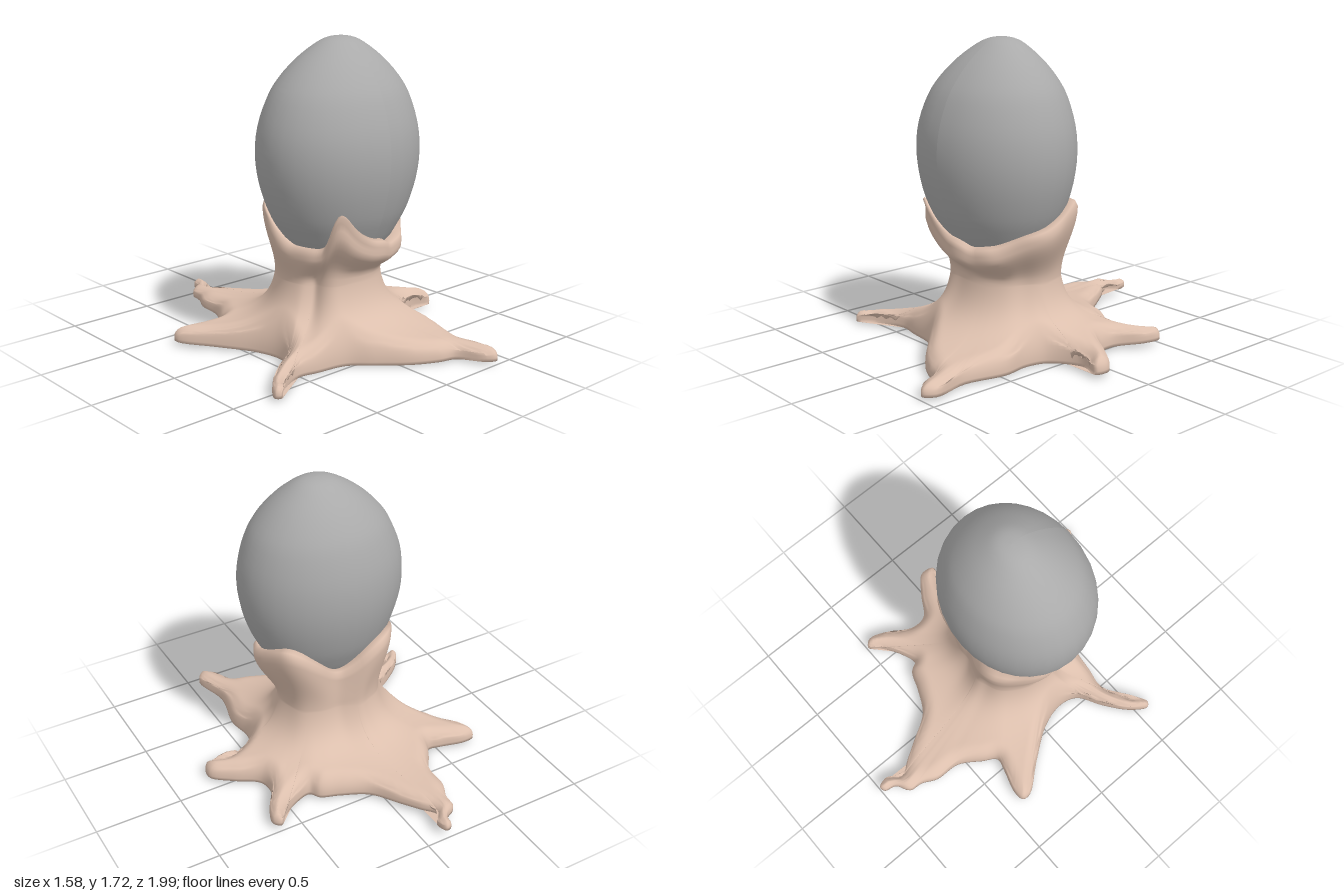
import * as THREE from 'three';

const { lerp, clamp, smoothstep, radToDeg, euclideanModulo } = THREE.MathUtils;

// Linear lookup in a sorted [key, value] table
function lookup(table, x) {
  let i = 0;
  while (i < table.length - 2 && x > table[i + 1][0]) i++;
  const [x0, y0] = table[i], [x1, y1] = table[i + 1];
  return lerp(y0, y1, clamp((x - x0) / (x1 - x0), 0, 1));
}

const SQUASH = 0.86; // depth of the egg and collar relative to their width
const EGG_Z = 0.165, STALK_Z = 0.095, STALK_Y = 0.41;
const EDGE = 0.08; // width of the rounded border of the foot

// Egg half-width by height
const EGG = [
  [0.46, 0], [0.49, 0.13], [0.55, 0.235], [0.62, 0.305], [0.7, 0.358], [0.8, 0.41],
  [0.95, 0.457], [1.1, 0.475], [1.25, 0.46], [1.4, 0.408], [1.5, 0.345], [1.6, 0.25],
  [1.68, 0.142], [1.712, 0.07], [1.72, 0],
];

// Collar rim height by angle in degrees (0 = left side, 90 = front)
const RIM = [
  [-180, 0.635], [-165, 0.68], [-150, 0.77], [-140, 0.81], [-128, 0.825], [-115, 0.81], [-105, 0.76],
  [-95, 0.68], [-84, 0.635], [-74, 0.655], [-64, 0.73], [-50, 0.835], [-40, 0.86], [-26, 0.82],
  [-12, 0.775], [0, 0.74], [20, 0.71], [45, 0.65], [70, 0.625], [82, 0.66], [95, 0.675],
  [108, 0.72], [118, 0.79], [124, 0.865], [130, 0.83], [137, 0.66], [145, 0.63], [180, 0.635],
];

// Foot outline seen from above (x, z), starting at the front arm
const FOOT = [
  [0.4, 0.995], [0.445, 0.94], [0.395, 0.72], [0.44, 0.48], [0.42, 0.32], [0.46, 0.2],
  [0.63, 0.11], [0.77, 0.15], [0.785, 0.07], [0.68, -0.02], [0.55, -0.11], [0.54, -0.22],
  [0.63, -0.37], [0.655, -0.46], [0.62, -0.495], [0.56, -0.43], [0.45, -0.36], [0.36, -0.335],
  [0.32, -0.39], [0.22, -0.43], [0.07, -0.51], [-0.03, -0.66], [-0.1, -0.77], [-0.155, -0.85],
  [-0.15, -0.93], [-0.17, -0.995], [-0.205, -0.985], [-0.22, -0.91], [-0.25, -0.88], [-0.26, -0.79],
  [-0.3, -0.7], [-0.31, -0.55], [-0.39, -0.42], [-0.44, -0.345], [-0.52, -0.36], [-0.66, -0.4],
  [-0.725, -0.39], [-0.73, -0.34], [-0.6, -0.17], [-0.47, 0.02], [-0.43, 0.17], [-0.46, 0.28],
  [-0.6, 0.37], [-0.73, 0.475], [-0.79, 0.57], [-0.765, 0.59], [-0.68, 0.51], [-0.52, 0.435],
  [-0.4, 0.45], [-0.22, 0.48], [-0.1, 0.58], [0.05, 0.71], [0.18, 0.785], [0.27, 0.82], [0.35, 0.96],
];

const wrapDegrees = (a) => euclideanModulo(a + 180, 360) - 180;

// Rim height averaged over a few degrees for soft lobes
function rimHeight(deg) {
  let sum = 0;
  for (let k = -2; k <= 2; k++) sum += lookup(RIM, wrapDegrees(deg + k * 2));
  return sum / 5;
}

const bump = (deg, at, width, size) => size * Math.exp(-((wrapDegrees(deg - at) / width) ** 2));

// Vertical folds that run up the stalk into the rim peaks
const stalkFold = (deg) => bump(deg, 122, 13, 0.035) + bump(deg, 145, 9, -0.035)
  + bump(deg, -40, 18, 0.02) + bump(deg, -78, 13, -0.03) + bump(deg, -125, 16, 0.02)
  + bump(deg, -103, 8, 0.015) + bump(deg, 25, 14, -0.015);

// Outward swellings of the collar lip
const lipFold = (deg) => bump(deg, -5, 22, 0.03) + bump(deg, 85, 14, 0.015) + bump(deg, 52, 14, 0.02)
  + bump(deg, -45, 18, 0.035) + bump(deg, -115, 18, 0.035) + bump(deg, -80, 12, -0.015)
  + bump(deg, 165, 20, -0.02);

const groundY = (x, z) => 0.004 + 0.028 * ((x + 0.1) ** 2 + (z - 0.35) ** 2);

// One rib: inside of the rim, over the lip, down the stalk, out along the foot, back underneath
function createRib(edge, angle, outline) {
  const pts = [];
  const deg = radToDeg(angle), c = Math.cos(angle), s = Math.sin(angle);
  const put = (y, r, cz) => pts.push(new THREE.Vector3(c * r, y, cz + s * r * SQUASH));

  // Collar, with a sharper overhang towards the front
  const h = rimHeight(deg), fold = stalkFold(deg);
  const lip = 0.37 + (h - 0.65) * 0.3 + fold * 0.3 + lipFold(deg);
  const overhang = Math.max(0, s) ** 2;
  put(h - 0.04, lookup(EGG, h - 0.04) - 0.03, EGG_Z);
  put(h, lookup(EGG, h) + 0.008, EGG_Z);
  put(h - 0.012, lerp(lookup(EGG, h), lip, 0.6) + 0.01, EGG_Z);
  for (let k = 0; k <= 10; k++) {
    const t = k / 10, e = smoothstep(t, 0.25 * overhang, 1 - 0.15 * overhang);
    put(lerp(h - 0.045, STALK_Y, t), lerp(lip, 0.31 + fold, e), lerp(EGG_Z - 0.01, STALK_Z, e));
  }

  // Foot, flaring out of the stalk and rounded off near its outline
  const root = pts[pts.length - 1].clone();
  const reach = Math.hypot(edge.x - root.x, edge.z - root.z);
  for (let k = 1; k <= 24; k++) {
    const t = 0.5 - 0.5 * Math.cos(Math.PI * k / 24);
    const p = root.clone().lerp(edge, t);
    const border = Math.min(...outline.map((o) => Math.hypot(o.x - p.x, o.z - p.z)));
    const round = Math.sqrt(1 - (1 - Math.min(border / EDGE, 1)) ** 2);
    const height = STALK_Y / (1 + 6 * (reach * t) ** 0.8);
    p.y = groundY(p.x, p.z) * t + lerp(0.018, height, round);
    pts.push(p);
  }

  // Underside
  for (const t of [0, 0.06, 0.3, 0.65, 1]) {
    const p = edge.clone().lerp(new THREE.Vector3(0, 0, STALK_Z), t);
    p.y = groundY(p.x, p.z);
    pts.push(p);
  }

  // Sideways hook at the tip of the back arm
  pts.forEach((p) => { p.x += 0.05 * smoothstep(-p.z, 0.85, 0.94); });
  return pts;
}

function createStandGeometry() {
  const count = 330;
  const curve = new THREE.CatmullRomCurve3(FOOT.map(([x, z]) => new THREE.Vector3(x, 0, z)), true);
  const outline = Array.from({ length: count }, (_, i) => curve.getPoint(i / count));

  // Unwrapped outline angles, smoothed so every rib leaves the stalk evenly
  const angles = [];
  outline.forEach((p, i) => {
    let a = Math.atan2(p.z - STALK_Z, p.x);
    if (i) a = angles[i - 1] + Math.atan2(Math.sin(a - angles[i - 1]), Math.cos(a - angles[i - 1]));
    angles.push(a);
  });
  const angleAt = (i) => angles[(i + count) % count] - Math.floor(i / count) * 2 * Math.PI;
  const ribs = outline.map((p, i) => {
    let sum = 0;
    for (let k = -9; k <= 9; k++) sum += angleAt(i + k);
    return createRib(p, sum / 19, outline);
  });

  const rows = ribs[0].length;
  const index = [];
  for (let i = 0; i < count; i++) {
    const a = i * rows, b = ((i + 1) % count) * rows;
    for (let k = 0; k < rows - 1; k++) {
      index.push(a + k, a + k + 1, b + k, b + k, a + k + 1, b + k + 1);
    }
  }
  const geometry = new THREE.BufferGeometry().setFromPoints(ribs.flat());
  geometry.setIndex(index);
  geometry.computeVertexNormals();
  return geometry;
}

// Egg with its tip leaning slightly left and back
function createEggGeometry() {
  const profile = new THREE.SplineCurve(EGG.map(([y, r]) => new THREE.Vector2(r, y)))
    .getPoints(42).map((p) => new THREE.Vector2(Math.max(p.x, 0), p.y));
  const geometry = new THREE.LatheGeometry(profile, 32);
  const pos = geometry.attributes.position;
  for (let i = 0; i < pos.count; i++) {
    const lean = Math.max(0, (pos.getY(i) - 1.1) / 0.62) ** 2;
    pos.setX(i, pos.getX(i) + 0.03 * lean);
    pos.setZ(i, pos.getZ(i) * SQUASH + EGG_Z - 0.02 * lean);
  }
  geometry.computeVertexNormals();
  return geometry;
}

export function createModel() {
  const group = new THREE.Group();
  group.name = 'eggOnStand';

  const egg = new THREE.Mesh(
    createEggGeometry(),
    new THREE.MeshStandardMaterial({ color: 0xaaaaaa }),
  );
  egg.name = 'egg';

  // Fleshy stand: lobed collar, stalk and spreading star-shaped foot
  const stand = new THREE.Mesh(
    createStandGeometry(),
    new THREE.MeshStandardMaterial({ color: 0xdcbfad, side: THREE.DoubleSide }),
  );
  stand.name = 'stand';

  group.add(egg, stand);
  return group;
}
